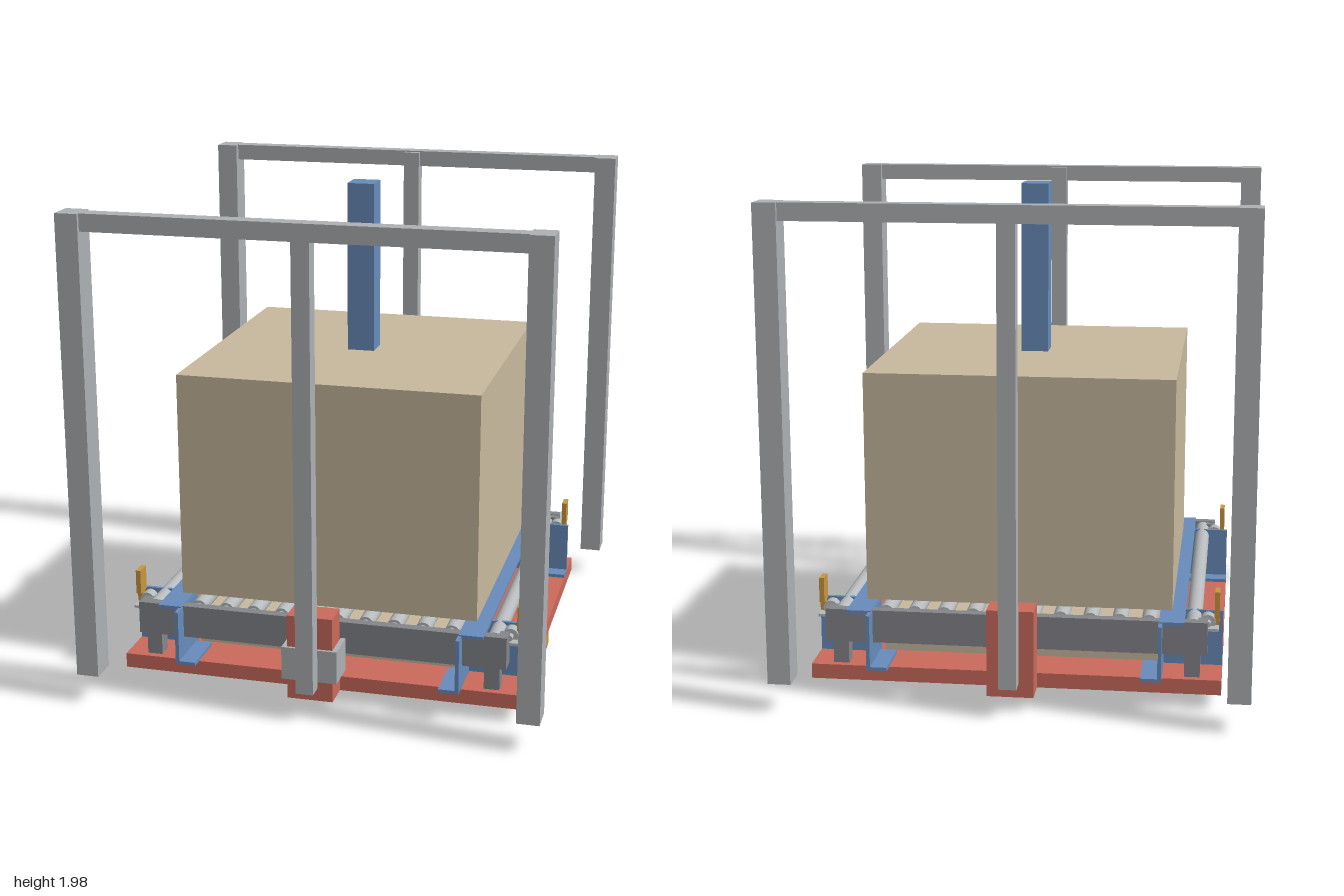
import * as THREE from 'three';

const mat = (name, color) => {
  const m = new THREE.MeshStandardMaterial({ color });
  m.name = name;
  return m;
};

export function createModel() {
  const model = new THREE.Group();
  model.name = 'loadTransferStation';
  const tan = mat('cardboard tan', 0xc8b99e);
  const red = mat('tray red', 0xcb6a5c);
  const blue = mat('bracket blue', 0x688cbb);
  const grey = mat('frame grey', 0xadb1b4);
  const dark = mat('rail grey', 0x85868b);
  const orange = mat('sensor orange', 0xc9963f);
  const silver = mat('roller silver', 0xb6babd);

  // Box given by its minimum and maximum on each axis
  const box = (name, m, x0, x1, y0, y1, z0, z1, parent = model) => {
    const mesh = new THREE.Mesh(new THREE.BoxGeometry(x1 - x0, y1 - y0, z1 - z0), m);
    mesh.position.set((x0 + x1) / 2, (y0 + y1) / 2, (z0 + z1) / 2);
    mesh.name = name;
    parent.add(mesh);
    return mesh;
  };
  // Same box, mirrored by signs sx and sz
  const mirrored = (sx, sz, parent) => (name, m, x0, x1, y0, y1, z0, z1) =>
    box(name, m, Math.min(sx * x0, sx * x1), Math.max(sx * x0, sx * x1), y0, y1,
      Math.min(sz * z0, sz * z1), Math.max(sz * z0, sz * z1), parent);
  // Cylinder lying along z or x
  const rod = (name, m, r, len, x, y, z, axis = 'z', parent = model) => {
    const g = new THREE.CylinderGeometry(r, r, len, 24);
    if (axis === 'z') g.rotateX(Math.PI / 2);
    else g.rotateZ(Math.PI / 2);
    const mesh = new THREE.Mesh(g, m);
    mesh.position.set(x, y, z);
    mesh.name = name;
    parent.add(mesh);
  };

  // Tray, keel bar, load and mast
  box('tray', red, -0.815, 0.815, 0.06, 0.12, -0.76, 0.76);
  box('keelBar', orange, -0.815, 0.815, 0, 0.06, -0.028, 0.028);
  box('load', tan, -0.615, 0.615, 0.351, 1.28, -0.615, 0.615);
  box('mast', blue, -0.056, 0.056, 1.28, 1.98, -0.056, 0.056);

  // Low base under the rollers with shallow side panels
  box('base', tan, -0.555, 0.555, 0.12, 0.28, -0.565, 0.565);
  for (const sx of [-1, 1]) for (const sz of [-1, 1]) {
    const add = mirrored(sx, sz, model);
    add('basePanel', tan, 0.555, 0.561, 0.145, 0.255, 0.06, 0.53);
    add('basePanelTop', tan, 0.555, 0.561, 0.255, 0.27, 0.095, 0.53);
  }

  // Conveyor rollers
  const rollers = new THREE.Group();
  rollers.name = 'conveyorRollers';
  model.add(rollers);
  for (let i = 0; i < 10; i++) {
    const x = (i - 4.5) * 0.117;
    rod('roller', silver, 0.031, 1.34, x, 0.316, 0, 'z', rollers);
    rod('rollerShaft', silver, 0.02, 1.41, x, 0.316, 0, 'z', rollers);
  }

  // Side rails and long side rollers
  for (const s of [-1, 1]) {
    const add = mirrored(s, 1, model);
    add('sideRail', blue, 0.57, 0.668, 0.336, 0.35, -0.76, 0.76);
    rod('sideRoller', silver, 0.031, 1.4, s * 0.702, 0.317, 0);
  }

  // Ends: cross rail, guide post and portal frame
  for (const s of [-1, 1]) {
    const add = mirrored(1, s, model);
    add('endRail', dark, -0.757, 0.757, 0.215, 0.348, 0.705, 0.746);
    add('guidePost', red, -0.092, 0.092, 0.06, 0.41, 0.76, 0.875);
    const portal = new THREE.Group();
    portal.name = 'portalFrame';
    model.add(portal);
    const part = mirrored(1, s, portal);
    for (const x of [-0.885, 0.885])
      part('portalLeg', grey, x - 0.045, x + 0.045, 0.12, 1.98, 0.888, 1);
    part('portalBeam', grey, -0.84, 0.84, 1.912, 1.98, 0.915, 0.985);
    part('portalPole', grey, -0.035, 0.035, 0.12, 1.975, 0.888, 0.955);
  }

  // Clamp around the front guide post
  box('clampFace', grey, -0.112, 0.112, 0.145, 0.28, 0.875, 0.887);
  for (const s of [-1, 1])
    mirrored(s, 1, model)('clampSide', grey, 0.092, 0.112, 0.145, 0.28, 0.746, 0.875);

  // Four corners: brackets, posts and sensors
  for (const sx of [-1, 1]) for (const sz of [-1, 1]) {
    const corner = new THREE.Group();
    corner.name = 'corner';
    model.add(corner);
    const add = mirrored(sx, sz, corner);
    add('endBracketWeb', blue, 0.567, 0.582, 0.12, 0.345, 0.57, 0.81);
    add('endBracketFoot', blue, 0.5, 0.567, 0.12, 0.134, 0.6, 0.81);
    add('sideBracketWeb', blue, 0.582, 0.815, 0.12, 0.347, 0.57, 0.585);
    add('sideBracketFoot', blue, 0.65, 0.815, 0.12, 0.134, 0.5, 0.57);
    add('cornerPost', dark, 0.668, 0.73, 0.12, 0.215, 0.67, 0.732);
    add('cornerRail', dark, 0.72, 0.757, 0.215, 0.345, 0.67, 0.705);
    add('sensorArm', silver, 0.73, 0.8, 0.295, 0.306, 0.585, 0.69);
    rod('sensorRoller', silver, 0.03, 0.045, sx * 0.757, 0.32, sz * 0.63, 'z', corner);
    rod('sensorAxle', silver, 0.012, 0.1, sx * 0.757, 0.32, sz * 0.63, 'z', corner);
    add('sensor', orange, 0.782, 0.802, 0.345, 0.445, 0.592, 0.657);
    add('sensorStem', orange, 0.782, 0.802, 0.306, 0.345, 0.61, 0.64);
  }
  return model;
}
